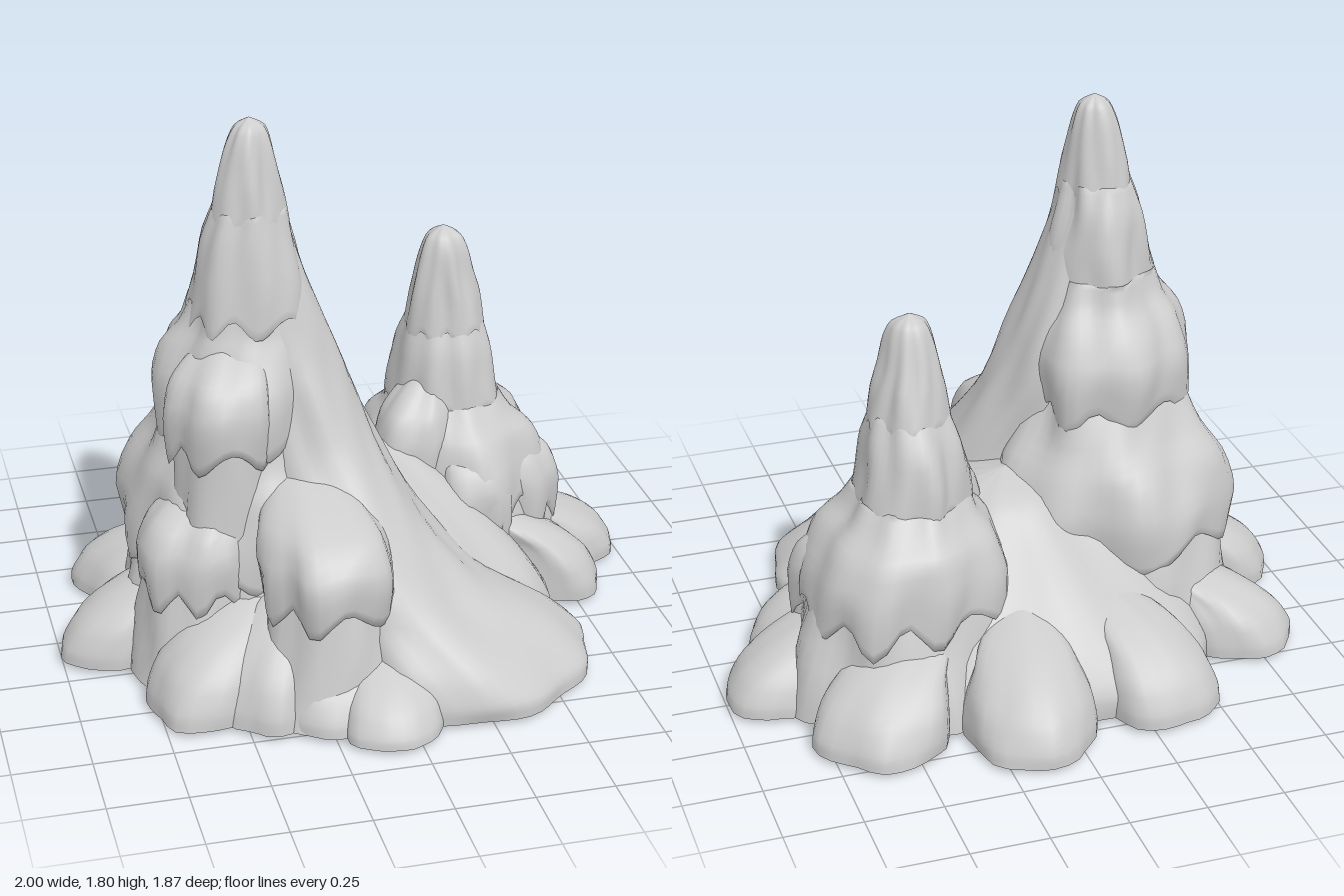
import * as THREE from 'three';

const stone = new THREE.MeshStandardMaterial({ color: 0xcccccc });
stone.name = 'pale stone';

const FLOOR = 0.015; // height of the rim; the underside dips from here to the ground

// Skin over stacked rings, bottom to top. Row: [y, centreX, centreZ, radiusX, radiusZ, drip].
// "drip" pulls the ring down in scallops; wobble and flutes make the stone irregular.
function loft(name, rows, { drips = 9, wobble = 0.05, flute = 0.04, phase = 0, sides = 54, steps = 3 } = {}) {
  const place = new THREE.CatmullRomCurve3(rows.map(([y, x, z]) => new THREE.Vector3(x, y, z)), false, 'catmullrom', 0.4);
  const size = new THREE.CatmullRomCurve3(
    rows.map(([, , , rx, rz = rx, d = 0]) => new THREE.Vector3(rx, rz, d)), false, 'catmullrom', 0.4);
  const count = (rows.length - 1) * steps;
  const rings = [];
  for (let i = 0; i <= count; i++) rings.push([place.getPoint(i / count), size.getPoint(i / count)]);
  // shallow underside with a sharp rim
  const [foot] = rings[0];
  rings.unshift([new THREE.Vector3(foot.x, 0, foot.z), new THREE.Vector3()], rings[0]);

  const points = [], faces = [];
  rings.forEach(([c, s], i) => {
    for (let j = 0; j < sides; j++) {
      const a = (j / sides) * Math.PI * 2;
      const scallop = 0.5 + 0.5 * Math.cos(drips * a + phase + 1.1 * Math.sin(2 * a + phase));
      const lumps = Math.sin(3 * a + 4 * c.y + phase) + 0.7 * Math.sin(5 * a - 9 * c.y + 2 * phase)
        + 0.5 * Math.sin(8 * a + 3 * phase) * Math.sin(19 * c.y + 2 * a);
      const k = 1 + wobble * lumps + flute * (scallop * 2 - 1);
      points.push(
        c.x + Math.max(0, s.x) * k * Math.cos(a),
        Math.max(0, c.y - Math.max(0, s.z) * scallop),
        c.z + Math.max(0, s.y) * k * Math.sin(a));
      if (i < rings.length - 1) {
        const p = i * sides + j, q = i * sides + (j + 1) % sides;
        faces.push(p, p + sides, q, q, p + sides, q + sides);
      }
    }
  });
  const geometry = new THREE.BufferGeometry();
  geometry.setAttribute('position', new THREE.Float32BufferAttribute(points, 3));
  geometry.setIndex(faces);
  geometry.computeVertexNormals();
  const mesh = new THREE.Mesh(geometry, stone);
  mesh.name = name;
  return mesh;
}

// Overhanging shelf on a stone column, its top sloping back into the spire at (sx, sz)
function ledge(name, x, z, r, top, sx, sz, phase) {
  const row = (y, s, lean, drip = 0) => [y, x + (sx - x) * lean, z + (sz - z) * lean, r * s, r * s, drip];
  return loft(name, [
    row(FLOOR, 1.2, 0),
    row(top * 0.3, 1.03, 0),
    row(top - 0.22, 0.87, 0.03),
    row(top - 0.24, 0.94, 0, 0.08),
    row(top - 0.13, 1, 0, 0.03),
    row(top - 0.05, 0.9, 0.1),
    row(top + 0.01, 0.72, 0.3),
    row(top + 0.07, 0.4, 0.55),
    row(top + 0.11, 0, 0.8),
  ], { drips: 6, phase, sides: 36 });
}

// Rounded foot whose back rises as a ridge toward the middle
function foot(x, z, r, h, phase) {
  const row = (y, s, lean) => [y, x * lean, z * lean, r * s];
  return loft('footLobe', [
    row(FLOOR, 1, 1), row(h * 0.25, 1, 0.99), row(h * 0.55, 0.93, 0.95), row(h * 0.82, 0.78, 0.88),
    row(h * 1.07, 0.6, 0.76), row(h * 1.45, 0, 0.54),
  ], { drips: 5, wobble: 0.045, flute: 0.015, phase, sides: 28 });
}

export function createModel() {
  const model = new THREE.Group();
  model.name = 'stalagmites';

  // Broad mound joining everything, with a saddle between the spires
  model.add(loft('mound', [
    [FLOOR, -0.03, -0.06, 0.69, 0.65],
    [0.1, -0.03, -0.06, 0.68, 0.64],
    [0.22, -0.02, -0.06, 0.6, 0.56],
    [0.36, 0, -0.06, 0.45, 0.43],
    [0.48, 0.01, -0.07, 0.31, 0.28],
    [0.57, 0.01, -0.08, 0.18, 0.17],
    [0.62, 0.01, -0.08, 0],
  ], { drips: 11, wobble: 0.02, flute: 0.03 }));

  // Tall spire with four dripping tiers
  model.add(loft('tallSpire', [
    [FLOOR, -0.37, 0, 0.44, 0.46],
    [0.22, -0.37, 0, 0.4, 0.42],
    [0.41, -0.37, 0, 0.36, 0.38],
    [0.4, -0.37, 0, 0.38, 0.4, 0.09],
    [0.5, -0.37, 0, 0.39, 0.41, 0.03],
    [0.62, -0.37, 0.01, 0.35, 0.37],
    [0.72, -0.37, 0.02, 0.29, 0.31],
    [0.84, -0.37, 0.04, 0.25, 0.265],
    [0.83, -0.37, 0.04, 0.265, 0.285, 0.08],
    [0.96, -0.37, 0.04, 0.275, 0.3, 0.02],
    [1.07, -0.37, 0.05, 0.24, 0.25],
    [1.14, -0.365, 0.07, 0.2],
    [1.22, -0.365, 0.08, 0.175],
    [1.19, -0.365, 0.09, 0.188, 0.188, 0.06],
    [1.3, -0.36, 0.09, 0.17, 0.175, 0.02],
    [1.42, -0.365, 0.09, 0.14, 0.15],
    [1.52, -0.36, 0.1, 0.112],
    [1.49, -0.36, 0.1, 0.122, 0.122, 0.05],
    [1.58, -0.36, 0.1, 0.103],
    [1.7, -0.355, 0.1, 0.075],
    [1.77, -0.35, 0.1, 0.048],
    [1.8, -0.35, 0.1, 0],
  ], { drips: 8, phase: 0.7 }));

  // Short spire with three dripping tiers
  model.add(loft('shortSpire', [
    [FLOOR, 0.42, -0.26, 0.38],
    [0.2, 0.42, -0.26, 0.345],
    [0.38, 0.42, -0.26, 0.3],
    [0.36, 0.42, -0.26, 0.32, 0.33, 0.09],
    [0.46, 0.41, -0.26, 0.32, 0.33, 0.03],
    [0.56, 0.4, -0.26, 0.27, 0.3],
    [0.62, 0.39, -0.25, 0.21, 0.25],
    [0.69, 0.38, -0.24, 0.175, 0.19],
    [0.67, 0.38, -0.24, 0.19, 0.205, 0.07],
    [0.76, 0.37, -0.24, 0.17, 0.195, 0.02],
    [0.86, 0.37, -0.235, 0.15, 0.17],
    [0.96, 0.37, -0.225, 0.12],
    [0.93, 0.37, -0.225, 0.135, 0.14, 0.05],
    [1.03, 0.365, -0.22, 0.115],
    [1.11, 0.36, -0.215, 0.095],
    [1.19, 0.36, -0.21, 0.075],
    [1.24, 0.36, -0.21, 0.052],
    [1.27, 0.36, -0.21, 0],
  ], { drips: 8, phase: 2.1 }));

  // Smooth flow running from the tall spire to the front left
  model.add(loft('stoneFlow', [
    [FLOOR, 0.25, 0.45, 0.4, 0.4],
    [0.07, 0.24, 0.45, 0.4, 0.4],
    [0.16, 0.17, 0.42, 0.37, 0.38],
    [0.3, 0.04, 0.36, 0.29, 0.32],
    [0.5, -0.08, 0.28, 0.24, 0.29],
    [0.75, -0.18, 0.17, 0.21, 0.22],
    [1, -0.25, 0.11, 0.18, 0.19],
    [1.3, -0.31, 0.1, 0.125, 0.13],
    [1.55, -0.34, 0.1, 0.07],
    [1.65, -0.35, 0.1, 0],
  ], { drips: 9, wobble: 0.04, flute: 0.02, phase: 1.2, steps: 4 }));

  // Shelves: name, x, z, radius, top, spire x, spire z
  [
    ['upperLedge', -0.48, 0.24, 0.17, 1.05, -0.36, 0.08],
    ['frontLedge', -0.21, 0.53, 0.215, 0.63, -0.25, 0.12],
    ['sideLedge', -0.58, 0.26, 0.185, 0.59, -0.36, 0.05],
    ['innerLedge', 0.23, -0.1, 0.13, 0.7, 0.36, -0.22],
    ['outerLedge', 0.58, -0.14, 0.16, 0.52, 0.38, -0.24],
    ['shortFrontLedge', 0.42, -0.02, 0.145, 0.54, 0.38, -0.24],
  ].forEach(([name, x, z, r, top, sx, sz], i) => model.add(ledge(name, x, z, r, top, sx, sz, i * 1.3)));

  // Feet around the rim: x, z, radius, height
  [
    [-0.83, 0.08, 0.17, 0.24], [-0.6, 0.5, 0.185, 0.27], [-0.42, 0.59, 0.16, 0.29],
    [-0.22, 0.66, 0.17, 0.23], [-0.07, 0.78, 0.155, 0.19], [-0.71, -0.36, 0.18, 0.23],
    [-0.32, -0.65, 0.19, 0.25], [0.13, -0.72, 0.21, 0.25], [0.58, -0.59, 0.21, 0.25],
    [0.82, -0.24, 0.18, 0.22], [0.71, 0.01, 0.155, 0.25],
  ].forEach(([x, z, r, h], i) => model.add(foot(x, z, r, h, i * 1.7)));

  return model;
}
